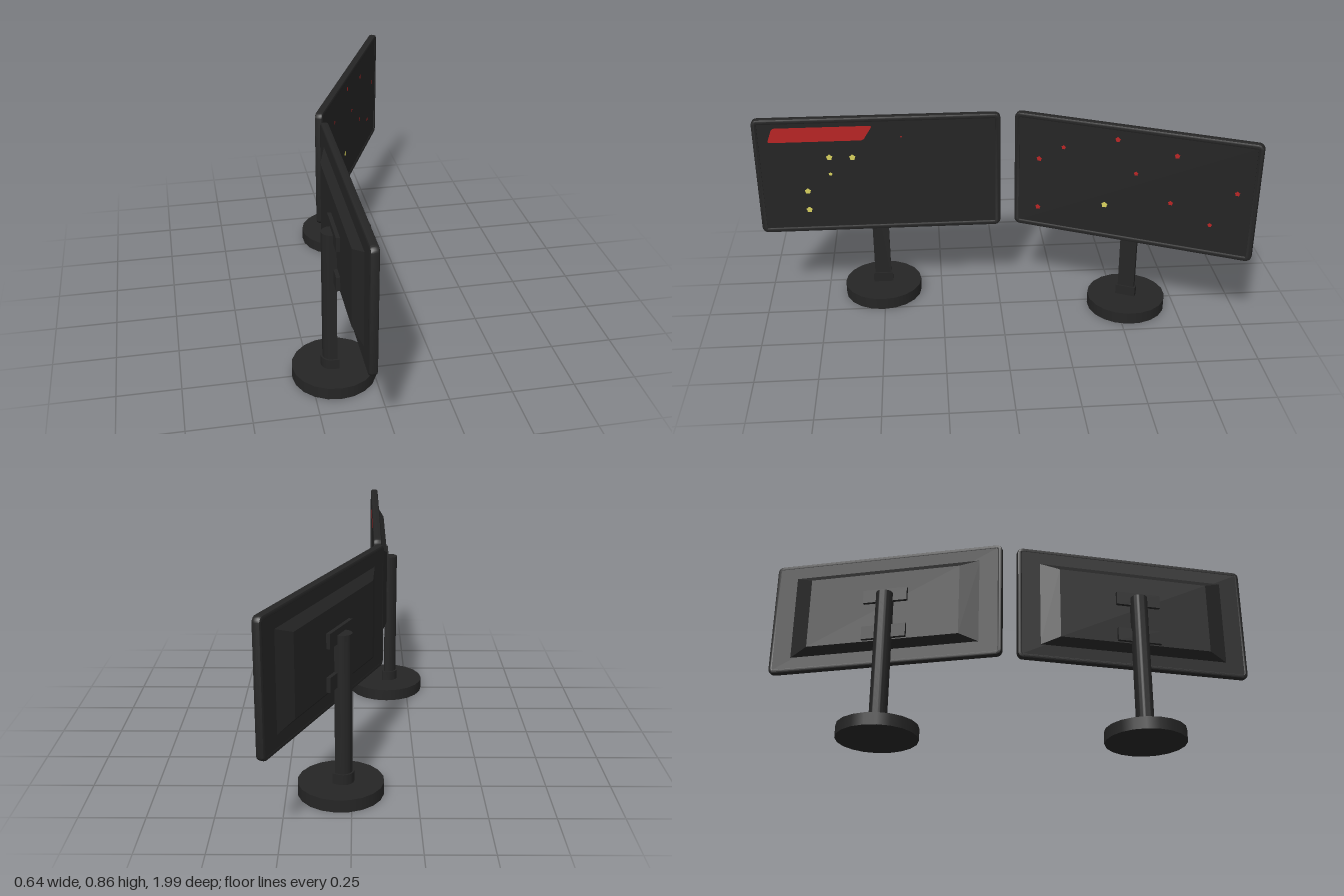
import * as THREE from 'three';
import { toCreasedNormals } from 'three/addons/utils/BufferGeometryUtils.js';

const mat = (name, color) => {
  const m = new THREE.MeshStandardMaterial({ color });
  m.name = name;
  return m;
};

function roundedRect(target, w, h, r) {
  const x = w / 2, y = h / 2;
  target.moveTo(-x + r, -y);
  target.lineTo(x - r, -y);
  target.absarc(x - r, -y + r, r, -Math.PI / 2, 0);
  target.lineTo(x, y - r);
  target.absarc(x - r, y - r, r, 0, Math.PI / 2);
  target.lineTo(-x + r, y);
  target.absarc(-x + r, y - r, r, Math.PI / 2, Math.PI);
  target.lineTo(-x, -y + r);
  target.absarc(-x + r, -y + r, r, Math.PI, Math.PI * 1.5);
  return target;
}

// Column section: round at the back (-x), flat at the front (+x)
function columnGeometry(r, cx, front, height) {
  const s = new THREE.Shape();
  s.moveTo(front, r);
  s.lineTo(cx, r);
  s.absarc(cx, 0, r, Math.PI / 2, Math.PI * 1.5);
  s.lineTo(front, -r);
  s.closePath();
  const g = new THREE.ExtrudeGeometry(s, { depth: height, bevelEnabled: false, curveSegments: 12 });
  g.rotateX(-Math.PI / 2);
  return toCreasedNormals(g, 0.6);
}

// Small five-lobed mark, facing +x
function markGeometry(r) {
  const pts = [];
  for (let i = 0; i < 10; i++) {
    const a = (i / 10) * Math.PI * 2 + Math.PI / 2, k = i % 2 ? 0.75 * r : r;
    pts.push(new THREE.Vector2(Math.cos(a) * k, Math.sin(a) * k));
  }
  return new THREE.ShapeGeometry(new THREE.Shape(pts)).rotateY(Math.PI / 2);
}

export function createModel() {
  const model = new THREE.Group();
  const black = mat('blackPlastic', 0x252525);
  const glass = mat('darkScreen', 0x242424);
  const red = mat('red', 0xb92424);
  const yellow = mat('yellow', 0xd9d25e);

  const W = 1.008, H = 0.513, MID_Y = 0.5985, MID_Z = -0.011;

  const add = (parent, name, geo, material, x = 0, y = 0, z = 0) => {
    const m = new THREE.Mesh(geo, material);
    m.name = name;
    m.position.set(x, y, z);
    parent.add(m);
    return m;
  };

  // One monitor on its stand, screen facing +x, base centred on the origin
  function monitor(name) {
    const g = new THREE.Group();
    g.name = name;

    // Stand
    add(g, 'base', new THREE.CylinderGeometry(0.166, 0.166, 0.05, 20), black, 0, 0.025, 0);
    add(g, 'collar', columnGeometry(0.042, -0.01, 0.015, 0.043), black, 0, 0.049, 0);
    add(g, 'pole', columnGeometry(0.035, -0.01, 0.008, 0.596), black, 0, 0.05, 0);
    for (const y of [0.641, 0.473]) {
      add(g, 'mountPlate', new THREE.BoxGeometry(0.018, 0.058, 0.19), black, 0.004, y, 0);
    }

    // Bevelled frame around the screen opening
    const b = 0.009;
    const outline = roundedRect(new THREE.Shape(), W - 2 * b, H - 2 * b, 0.016);
    outline.holes.push(roundedRect(new THREE.Path(), W - 0.03, H - 0.03, 0.01));
    const frame = new THREE.ExtrudeGeometry(outline, {
      depth: 0.033 - 2 * b, bevelThickness: b, bevelSize: b, bevelSegments: 2, curveSegments: 4,
    });
    frame.rotateY(Math.PI / 2);
    add(g, 'frame', toCreasedNormals(frame, 0.6), black, 0.037 + b, MID_Y, MID_Z);
    add(g, 'screen', new THREE.BoxGeometry(0.01, H - 0.03, W - 0.03), glass, 0.061, MID_Y, MID_Z);
    add(g, 'backPanel', new THREE.BoxGeometry(0.018, H - 0.03, W - 0.03), black, 0.047, MID_Y, MID_Z);

    // Rear housing, tapering away from the panel
    const housing = new THREE.BoxGeometry(0.029, 0.38, 0.82);
    const p = housing.attributes.position;
    for (let i = 0; i < p.count; i++) {
      if (p.getX(i) < 0) p.setXYZ(i, p.getX(i), p.getY(i) * 0.83, p.getZ(i) * 0.8);
    }
    housing.computeVertexNormals();
    add(g, 'rearHousing', housing, black, 0.0245, 0.597, MID_Z);

    model.add(g);
    return g;
  }

  const FACE = 0.0672;
  const marks = (g, name, material, list) => {
    for (const [z, y, r] of list) add(g, name, markGeometry(r), material, FACE, y, z);
  };

  // Straight monitor
  const near = monitor('leftMonitor');
  near.position.set(-0.155, 0, 0.507);
  const banner = new THREE.Shape();
  banner.moveTo(-0.425, 0.753);
  banner.lineTo(-0.06, 0.753);
  banner.quadraticCurveTo(-0.048, 0.753, -0.041, 0.764);
  banner.lineTo(-0.015, 0.805);
  banner.quadraticCurveTo(-0.008, 0.816, -0.02, 0.816);
  banner.lineTo(-0.4, 0.816);
  banner.quadraticCurveTo(-0.412, 0.816, -0.416, 0.805);
  banner.lineTo(-0.431, 0.764);
  banner.quadraticCurveTo(-0.434, 0.753, -0.425, 0.753);
  add(near, 'banner', new THREE.ShapeGeometry(banner).rotateY(Math.PI / 2), red, FACE, 0, 0);
  marks(near, 'yellowMark', yellow, [
    [0.19, 0.681, 0.014], [0.096, 0.678, 0.014], [0.19, 0.606, 0.009],
    [0.289, 0.531, 0.014], [0.289, 0.445, 0.014],
  ]);
  marks(near, 'redMark', red, [[-0.107, 0.764, 0.004]]);

  // Angled monitor
  const far = monitor('rightMonitor');
  far.position.set(0.042, 0, -0.543);
  far.rotation.y = -THREE.MathUtils.degToRad(24.5);
  marks(far, 'redMark', red, [
    [0.384, 0.66, 0.012], [0.28, 0.727, 0.01], [0.056, 0.794, 0.012],
    [-0.026, 0.657, 0.01], [-0.186, 0.759, 0.012], [-0.174, 0.55, 0.011],
    [-0.433, 0.635, 0.011], [-0.338, 0.48, 0.01], [0.386, 0.437, 0.012],
  ]);
  marks(far, 'yellowMark', yellow, [[0.098, 0.496, 0.014]]);

  return model;
}
